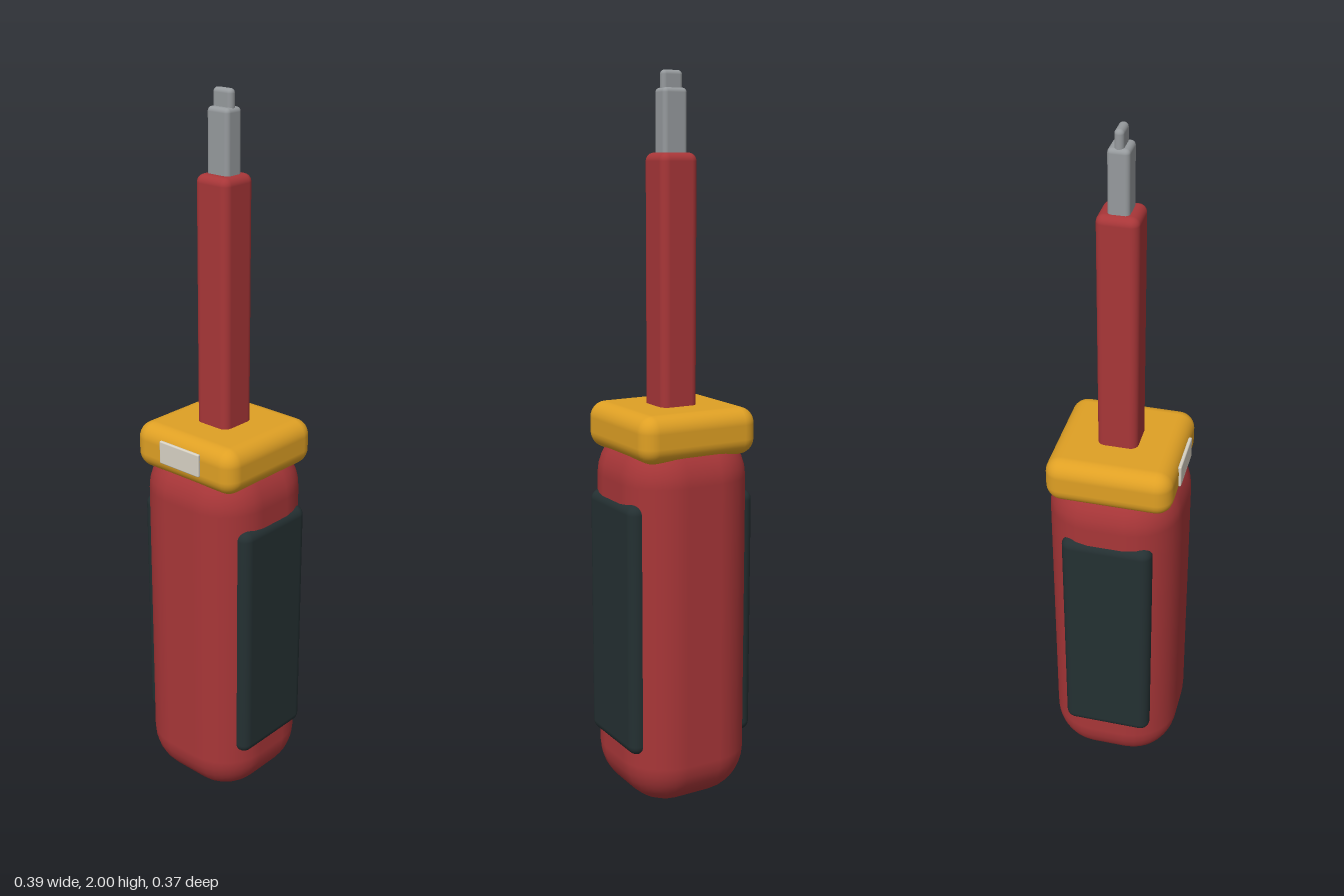
import * as THREE from 'three';
import { RoundedBoxGeometry } from 'three/addons/geometries/RoundedBoxGeometry.js';

function material(name, color) {
  const m = new THREE.MeshStandardMaterial({ color });
  m.name = name;
  return m;
}

export function createModel() {
  const red = material('red', 0xa83638);
  const yellow = material('yellow', 0xdfa024);
  const black = material('dark rubber', 0x243032);
  const steel = material('steel', 0x969a9d);
  const cream = material('cream', 0xd8d2c4);

  const group = new THREE.Group();
  group.name = 'screwdriver';

  // Rounded block given by its [min, max] extent on each axis
  function block(name, mat, [x0, x1], [y0, y1], [z0, z1], radius, segments = 4) {
    const geometry = new RoundedBoxGeometry(x1 - x0, y1 - y0, z1 - z0, segments, radius);
    const mesh = new THREE.Mesh(geometry, mat);
    mesh.name = name;
    mesh.position.set((x0 + x1) / 2, (y0 + y1) / 2, (z0 + z1) / 2);
    group.add(mesh);
  }

  // Handle, with its top tucked into the guard
  block('handle', red, [-0.186, 0.186], [0, 1.06], [-0.185, 0.185], 0.135);

  // Rubber grips on both sides
  block('leftGrip', black, [0.135, 0.194], [0.17, 0.88], [-0.127, 0.127], 0.028);
  block('rightGrip', black, [-0.194, -0.135], [0.17, 0.88], [-0.127, 0.127], 0.028);

  // Guard with a small plate on its front
  block('guard', yellow, [-0.177, 0.177], [0.99, 1.12], [-0.174, 0.174], 0.045);
  block('frontPlate', cream, [-0.071, 0.071], [1.03, 1.095], [0.171, 0.181], 0.004, 2);

  // Insulated shaft, steel tip and flat blade
  block('shaft', red, [-0.055, 0.055], [1.08, 1.79], [-0.055, 0.055], 0.022);
  block('tip', steel, [-0.036, 0.036], [1.75, 1.955], [-0.028, 0.028], 0.012);
  block('blade', steel, [-0.031, 0.031], [1.93, 2], [-0.012, 0.012], 0.0115);

  return group;
}
